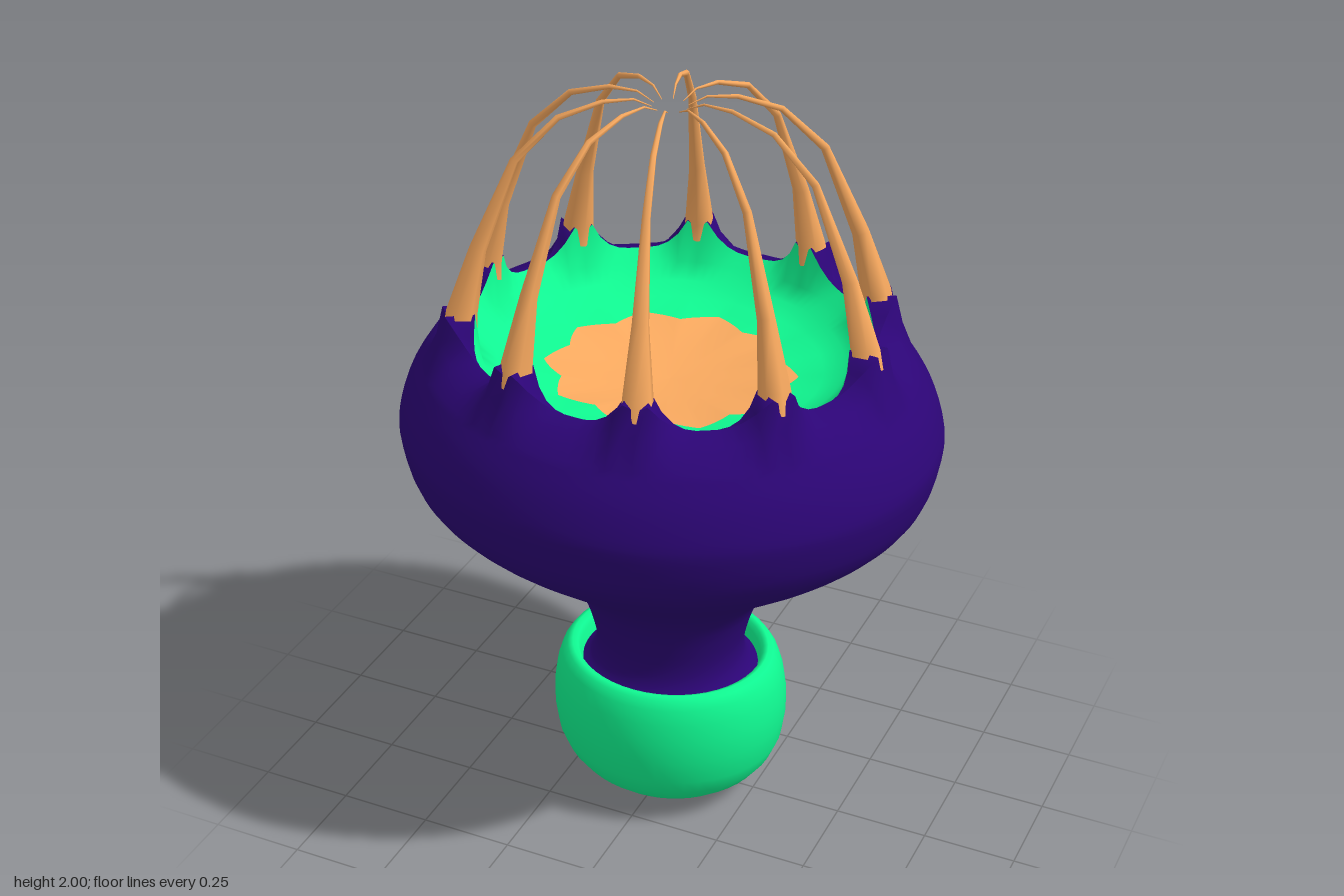
import * as THREE from 'three';

const PURPLE = 0x2c0576, GREEN = 0x10fa92, ORANGE = 0xfbab60;
const COLS = 120, ARMS = 10;
const STEP = (Math.PI * 2) / COLS;
const ARM_ANGLE = THREE.MathUtils.degToRad(3.5);

function makeMesh(name, geometry, color) {
  const material = new THREE.MeshStandardMaterial({ color, side: THREE.DoubleSide });
  const mesh = new THREE.Mesh(geometry, material);
  mesh.name = name;
  return mesh;
}

// Surface from closed rings; point(row, col) returns [x, y, z]
function ringSurface(rows, cols, point) {
  const positions = [], index = [];
  for (let i = 0; i < rows; i++) {
    for (let j = 0; j < cols; j++) {
      positions.push(...point(i, j));
      if (i === rows - 1) continue;
      const a = i * cols + j, b = i * cols + ((j + 1) % cols);
      index.push(a, a + cols, b, b, a + cols, b + cols);
    }
  }
  const geometry = new THREE.BufferGeometry();
  geometry.setAttribute('position', new THREE.Float32BufferAttribute(positions, 3));
  geometry.setIndex(index);
  geometry.computeVertexNormals();
  return geometry;
}

// Rows are functions of the column giving [radius, height]
function revolve(rows) {
  return ringSurface(rows.length, COLS, (i, j) => {
    const [r, y] = rows[i](j);
    const a = ARM_ANGLE + (j - 1) * STEP;
    return [r * Math.cos(a), y, r * Math.sin(a)];
  });
}

// Rim spikes hugging each arm, with a notch at the middle
const SPIKE = [0.75, 1, 0.5, 0.2, 0.05, 0, 0];
const spike = (j) => {
  const d = (j + 11) % 12;
  return SPIKE[Math.min(d, 12 - d)];
};
const star = (j) => 0.285 + 0.043 * (1 - Math.abs((j % 12) - 6) / 6);

export function createModel() {
  const model = new THREE.Group();
  model.name = 'model';
  model.scale.z = 0.92; // slightly oval plan

  // Basket with a rolled lip
  const basketProfile = [
    [0, 0], [0.1, 0.007], [0.175, 0.021], [0.225, 0.044], [0.262, 0.075], [0.29, 0.112],
    [0.31, 0.16], [0.32, 0.23], [0.319, 0.29], [0.311, 0.345], [0.298, 0.387], [0.283, 0.41],
    [0.268, 0.418], [0.254, 0.412], [0.247, 0.395], [0.24, 0.365],
  ].map(([x, y]) => new THREE.Vector2(x, y));
  model.add(makeMesh('basket', new THREE.LatheGeometry(basketProfile, 48), GREEN));

  // Bulb: flared neck, round body and spiked rim
  const bodyCurve = new THREE.SplineCurve([
    [0.242, 0.365], [0.216, 0.388], [0.202, 0.43], [0.21, 0.5], [0.25, 0.61], [0.345, 0.71],
    [0.465, 0.8], [0.595, 0.9], [0.672, 0.985], [0.702, 1.09], [0.7, 1.15], [0.672, 1.23], [0.628, 1.3],
  ].map(([x, y]) => new THREE.Vector2(x, y)));
  const outer = bodyCurve.getPoints(36).map((p) => () => [p.x, p.y]);
  const rimOuter = (j) => [0.522 + 0.055 * spike(j), 1.362 + 0.09 * spike(j)];
  const rimInner = (j) => [0.52 - 0.02 * spike(j), 1.362 + 0.09 * spike(j)];
  outer.push((j) => [0.578 + 0.018 * spike(j), 1.347 + 0.03 * spike(j)], rimOuter);
  model.add(makeMesh('bulb', revolve(outer), PURPLE));
  model.add(makeMesh('rimCap', revolve([rimOuter, rimInner]), PURPLE));

  // Hollow bowl and star-edged, gently dished floor
  const floorEdge = (j) => [star(j), 1.262];
  model.add(makeMesh('bowl', revolve([
    rimInner, () => [0.49, 1.335], () => [0.445, 1.3], () => [0.39, 1.277], floorEdge,
  ]), GREEN));
  model.add(makeMesh('bowlFloor', revolve([
    floorEdge, () => [0.2, 1.245], () => [0.1, 1.235], () => [0, 1.232],
  ]), ORANGE));

  // Tapering arms curling in overhead: [radius, height, thickness]
  const path = [
    [0.536, 1.4, 0.044], [0.53, 1.45, 0.04], [0.483, 1.62, 0.022], [0.385, 1.85, 0.011],
    [0.275, 1.956, 0.008], [0.165, 1.992, 0.006], [0.09, 1.995, 0.003], [0.045, 1.975, 0.001],
  ];
  const SIDES = 6;
  const armGeometry = ringSurface(path.length, SIDES, (i, j) => {
    const [r, y, t] = path[i];
    const p = path[Math.max(i - 1, 0)], n = path[Math.min(i + 1, path.length - 1)];
    const dr = n[0] - p[0], dy = n[1] - p[1], len = Math.hypot(dr, dy);
    const a = (j / SIDES) * Math.PI * 2, c = t * Math.cos(a);
    return [r + (c * dy) / len, y - (c * dr) / len, t * Math.sin(a)];
  });
  for (let k = 0; k < ARMS; k++) {
    const arm = makeMesh('arm', armGeometry, ORANGE);
    arm.rotation.y = -(ARM_ANGLE + (k * Math.PI * 2) / ARMS);
    model.add(arm);
  }
  return model;
}
